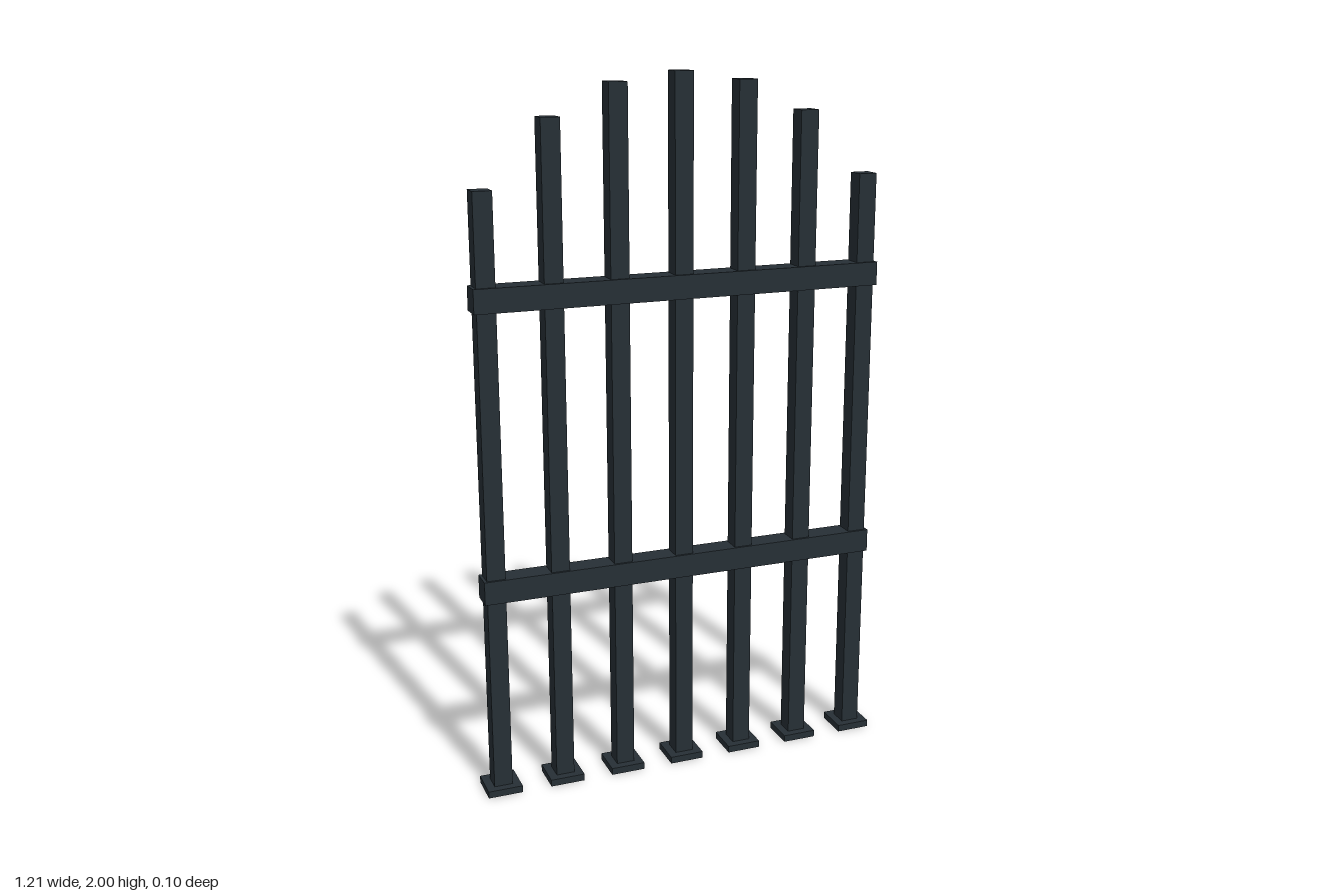
import * as THREE from 'three';

export function createModel() {
  const gate = new THREE.Group();
  gate.name = 'barredGate';
  const iron = new THREE.MeshStandardMaterial({ name: 'dark iron', color: 0x262f35 });

  // Box resting on height y, centred on z = 0
  const box = (name, w, h, d, x, y) => {
    const mesh = new THREE.Mesh(new THREE.BoxGeometry(w, h, d), iron);
    mesh.name = name;
    mesh.position.set(x, y + h / 2, 0);
    gate.add(mesh);
  };

  // Upright bars forming an arch, each on a square foot plate
  const spacing = 0.185;
  const tops = [2, 1.975, 1.89, 1.71];
  for (let i = -3; i <= 3; i++) {
    box('uprightBar', 0.053, tops[Math.abs(i)], 0.053, i * spacing, 0);
    box('footPlate', 0.1, 0.02, 0.1, i * spacing, 0);
  }

  // Two horizontal rails
  for (const y of [0.58, 1.392]) box('crossRail', 1.18, 0.067, 0.067, 0, y);

  return gate;
}
